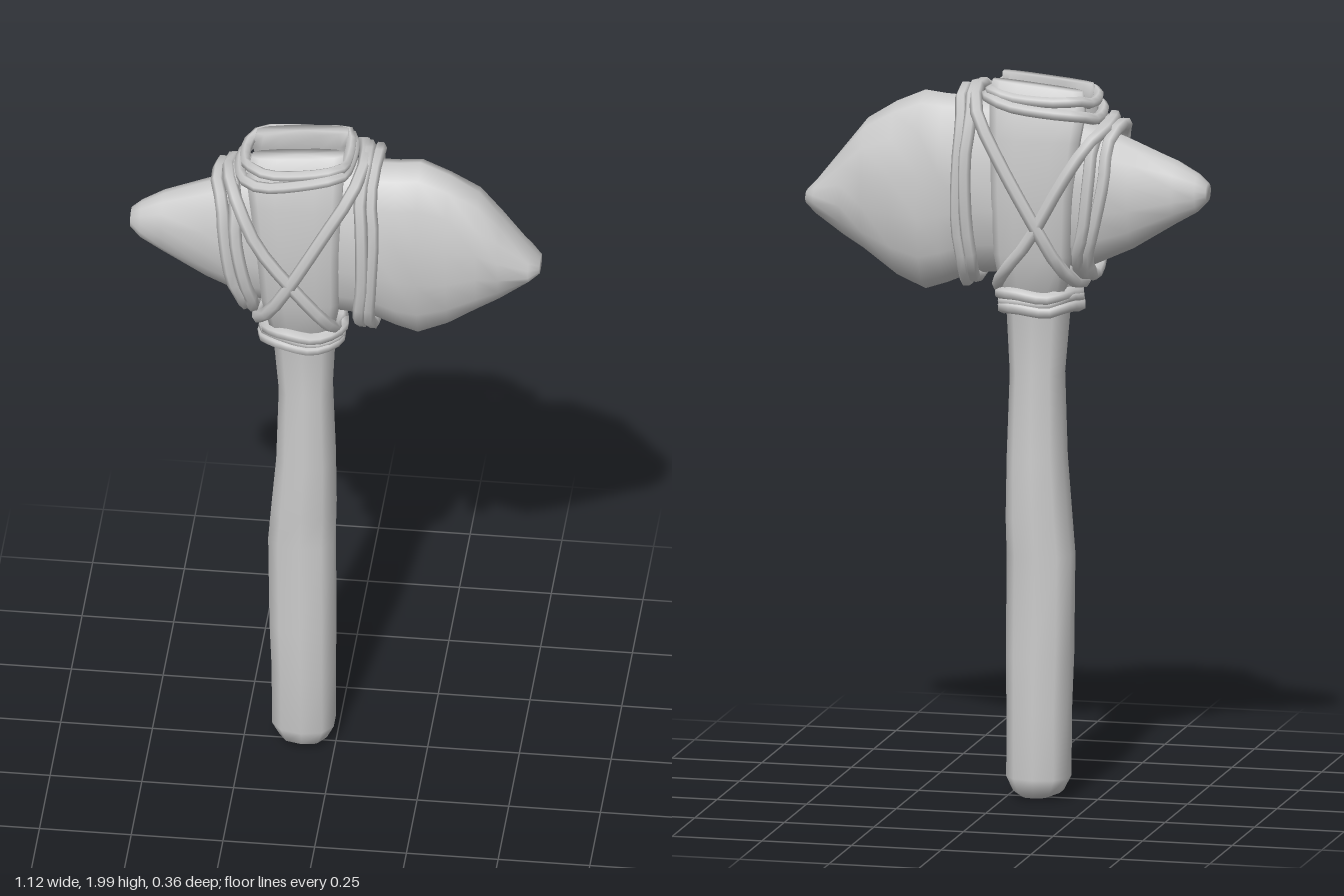
import * as THREE from 'three';

const material = new THREE.MeshStandardMaterial({ color: 0xcccccc, side: THREE.DoubleSide });

// Signed power, squares off an ellipse when p < 1
const spow = (v, p) => Math.sign(v) * Math.abs(v) ** p;

// Skin a closed solid over rings of equal point count, with a centre point at each end
function loft(rings) {
  const n = rings[0].length, pos = [], idx = [];
  rings.forEach((r) => r.forEach((p) => pos.push(p.x, p.y, p.z)));
  for (let i = 0; i < rings.length - 1; i++) {
    for (let j = 0; j < n; j++) {
      const a = i * n + j, b = i * n + (j + 1) % n;
      idx.push(a, a + n, b, b, a + n, b + n);
    }
  }
  [0, rings.length - 1].forEach((i) => {
    const c = new THREE.Vector3();
    rings[i].forEach((p) => c.addScaledVector(p, 1 / n));
    const k = pos.length / 3;
    pos.push(c.x, c.y, c.z);
    for (let j = 0; j < n; j++) {
      const a = i * n + j, b = i * n + (j + 1) % n;
      if (i === 0) idx.push(k, a, b); else idx.push(k, b, a);
    }
  });
  const g = new THREE.BufferGeometry();
  g.setAttribute('position', new THREE.Float32BufferAttribute(pos, 3));
  g.setIndex(idx);
  g.computeVertexNormals();
  return g;
}

// Horizontal ring filling x0..x1 and z0..z1 at height y
function ringY([y, x0, x1, z0, z1], n, p, tilt = 0) {
  return Array.from({ length: n }, (_, j) => {
    const t = ((j + 0.5) / n) * Math.PI * 2;
    const u = spow(Math.cos(t), p), v = spow(Math.sin(t), p);
    return new THREE.Vector3((x0 + x1) / 2 + u * (x1 - x0) / 2, y + tilt * u, (z0 + z1) / 2 + v * (z1 - z0) / 2);
  });
}

// Upright ring filling y0..y1 and -w..w at x, slightly chipped
function ringX([x, y0, y1, w], i, n) {
  return Array.from({ length: n }, (_, j) => {
    const t = (j / n) * Math.PI * 2;
    const chip = 1 + 0.035 * Math.sin(i * 2.3 + j * 1.9);
    return new THREE.Vector3(x, (y0 + y1) / 2 + Math.cos(t) * (y1 - y0) / 2, -spow(Math.sin(t), 0.85) * w * chip);
  });
}

// Cord loop from (x0,y0) round to (x1,y1), bulging to +-w in z
function cord([x0, y0, x1, y1, w, p, r]) {
  const n = 12;
  const pts = Array.from({ length: n }, (_, j) => {
    const t = ((j + 0.5) / n) * Math.PI * 2;
    const s = 0.5 + spow(Math.cos(t), p) / 2;
    const wob = 0.006 * Math.sin(j * 2.1 + x0 * 30);
    return new THREE.Vector3(x0 + (x1 - x0) * s + wob, y0 + (y1 - y0) * s + wob, spow(Math.sin(t), p) * w);
  });
  return new THREE.TubeGeometry(new THREE.CatmullRomCurve3(pts, true), 24, r, 6, true);
}

export function createModel() {
  const group = new THREE.Group();
  const add = (name, geometry) => {
    const mesh = new THREE.Mesh(geometry, material);
    mesh.name = name;
    group.add(mesh);
  };

  // Wooden shaft: y, x0, x1, z0, z1
  const shaft = [
    [0.005, -0.11, -0.04, -0.03, 0.025],
    [0.025, -0.155, -0.02, -0.075, 0.055],
    [0.065, -0.176, 0, -0.083, 0.064],
    [0.25, -0.176, 0, -0.085, 0.075],
    [0.4, -0.182, 0.002, -0.083, 0.075],
    [0.68, -0.186, 0, -0.08, 0.07],
    [0.78, -0.178, 0.002, -0.086, 0.072],
    [0.95, -0.163, 0, -0.08, 0.077],
    [1.18, -0.156, -0.008, -0.072, 0.07],
    [1.34, -0.17, 0, -0.078, 0.075],
    [1.42, -0.18, 0.01, -0.088, 0.085],
    [1.5, -0.19, 0.015, -0.1, 0.1],
  ];
  add('handle', loft(shaft.map((s) => ringY(s, 10, 0.85))));

  // Split top of the handle, gripping the stone: y, x0, x1, inner z, outer z
  const prong = [
    [1.4, -0.172, 0.004, 0.01, 0.085],
    [1.52, -0.195, 0.02, 0.04, 0.113],
    [1.68, -0.205, 0.022, 0.065, 0.132],
    [1.84, -0.225, 0.028, 0.06, 0.125],
    [1.93, -0.237, 0.033, 0.045, 0.108],
    [1.985, -0.225, 0.03, 0.03, 0.082],
  ];
  for (const [name, s] of [['frontProng', 1], ['backProng', -1]]) {
    add(name, loft(prong.map(([y, x0, x1, zi, zo], i) => {
      const [z0, z1] = s > 0 ? [zi, zo] : [-zo, -zi];
      return ringY([y, x0, x1, z0, z1], 12, 0.65, i > 3 ? 0.012 : 0);
    })));
  }

  // Stone head: x, bottom, top, half depth
  const stone = [
    [-0.558, 1.675, 1.725, 0.03],
    [-0.53, 1.645, 1.75, 0.047],
    [-0.47, 1.61, 1.785, 0.064],
    [-0.35, 1.535, 1.835, 0.08],
    [-0.22, 1.475, 1.885, 0.1],
    [-0.05, 1.46, 1.925, 0.108],
    [0.1, 1.445, 1.935, 0.112],
    [0.17, 1.415, 1.938, 0.114],
    [0.23, 1.395, 1.945, 0.11],
    [0.31, 1.43, 1.91, 0.104],
    [0.39, 1.49, 1.86, 0.1],
    [0.45, 1.53, 1.785, 0.088],
    [0.53, 1.59, 1.685, 0.062],
    [0.558, 1.615, 1.655, 0.035],
  ];
  add('stoneHead', loft(stone.map((s, i) => ringX(s, i, 14))));

  // Lashing: x0, y0, x1, y1, half depth, squareness, radius
  const cords = {
    wideSideCord: [
      [0.08, 1.435, 0.085, 1.96, 0.142, 0.8, 0.018],
      [0.105, 1.425, 0.112, 1.955, 0.132, 0.8, 0.017],
    ],
    narrowSideCord: [
      [-0.24, 1.465, -0.315, 1.88, 0.122, 0.8, 0.018],
      [-0.215, 1.465, -0.275, 1.885, 0.132, 0.8, 0.018],
    ],
    crossCord: [
      [0.015, 1.42, -0.29, 1.89, 0.15, 0.75, 0.018],
      [-0.205, 1.44, 0.085, 1.965, 0.158, 0.75, 0.018],
    ],
    neckCord: [
      [-0.19, 1.372, 0.012, 1.368, 0.093, 0.75, 0.018],
      [-0.185, 1.405, 0.02, 1.408, 0.096, 0.75, 0.018],
      [-0.19, 1.395, 0.015, 1.38, 0.09, 0.75, 0.015],
    ],
    topCord: [
      [-0.255, 1.905, 0.045, 1.95, 0.122, 0.5, 0.016],
      [-0.24, 1.945, 0.04, 1.965, 0.108, 0.5, 0.015],
    ],
  };
  for (const [name, list] of Object.entries(cords)) {
    list.forEach((c, i) => add(name + (i + 1), cord(c)));
  }
  return group;
}
